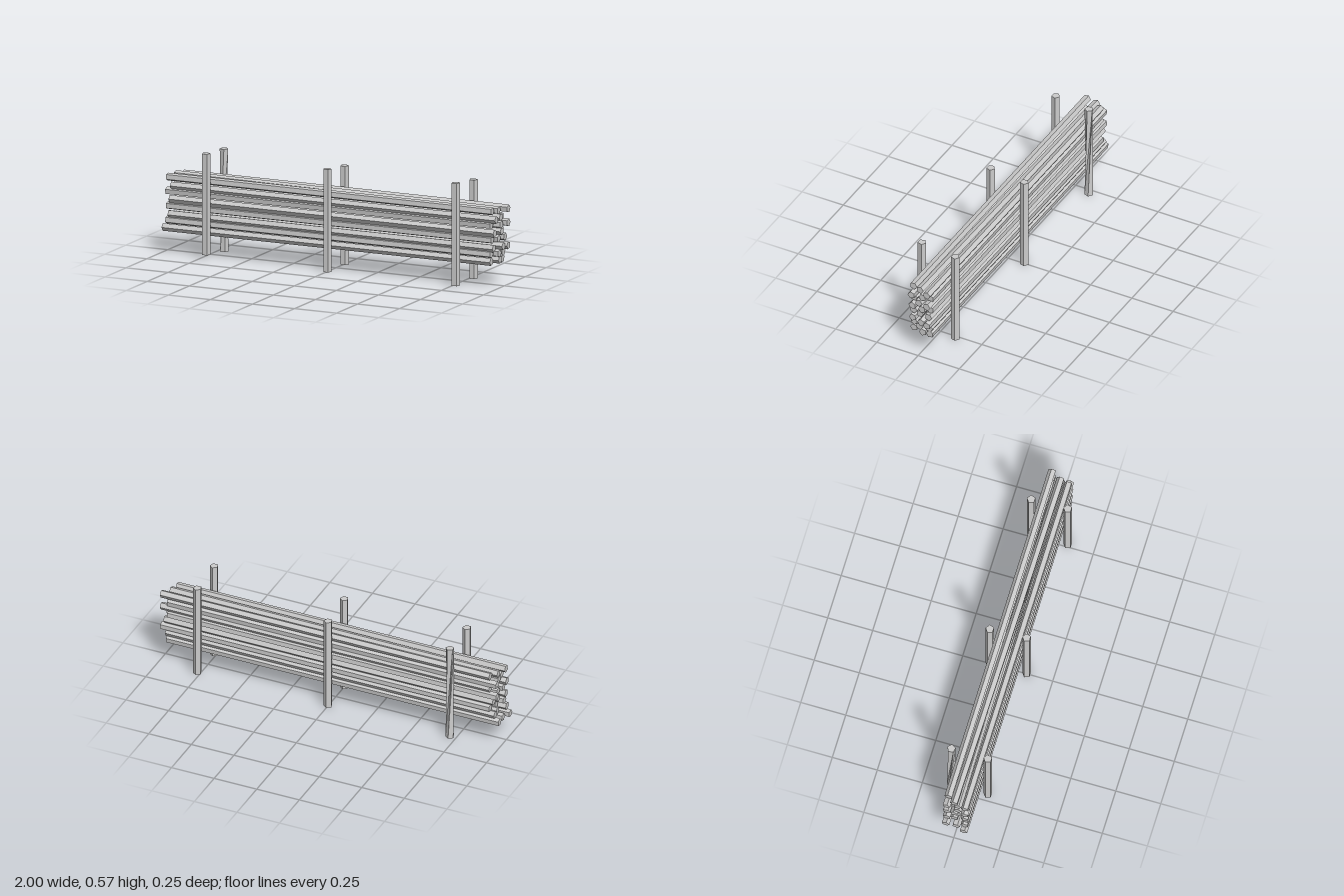
import * as THREE from 'three';

const material = new THREE.MeshStandardMaterial({ color: 0xcccccc, flatShading: true });
const UP = new THREE.Vector3(0, 1, 0);

// Five-sided pole running from a to b; angle turns the cross-section, twist turns its far end further.
function pole(name, a, b, radius, angle, twist = 0) {
  const dir = new THREE.Vector3().subVectors(b, a);
  const length = dir.length();
  const geometry = new THREE.CylinderGeometry(radius, radius, length, 5, 1, false, angle);
  if (twist) {
    const p = geometry.attributes.position;
    const v = new THREE.Vector3();
    for (let i = 0; i < p.count; i++) {
      v.fromBufferAttribute(p, i);
      if (v.y > 0) v.applyAxisAngle(UP, twist);
      p.setXYZ(i, v.x, v.y, v.z);
    }
    geometry.computeVertexNormals();
  }
  const mesh = new THREE.Mesh(geometry, material);
  mesh.name = name;
  mesh.position.addVectors(a, b).multiplyScalar(0.5);
  mesh.quaternion.setFromUnitVectors(UP, dir.normalize());
  return mesh;
}

export function createModel() {
  const model = new THREE.Group();
  model.name = 'railFence';

  // Upright posts in pairs: x, z, bottom, top, twist
  const posts = new THREE.Group();
  posts.name = 'posts';
  [
    [-0.72, 0.105, 0.022, 0.573, 0],
    [0, 0.105, 0, 0.56, 0],
    [0.763, 0.105, 0, 0.56, 0],
    [-0.715, -0.099, 0, 0.56, Math.PI / 3],
    [0, -0.099, 0, 0.538, 0],
    [0.767, -0.099, 0, 0.538, 0],
  ].forEach(([x, z, y0, y1, twist]) => {
    posts.add(pole(z > 0 ? 'frontPost' : 'backPost',
      new THREE.Vector3(x, y0, z), new THREE.Vector3(x, y1, z), 0.0238, Math.PI, twist));
  });
  model.add(posts);

  // Three columns of stacked rails; the middle column is skewed alternately
  const rowY = [0.411, 0.367, 0.335, 0.292, 0.256, 0.211, 0.177, 0.136];
  const columns = [
    { name: 'frontRail', z: 0.053, skew: 0,
      starts: [-0.975, -0.95, -0.98, -0.96, -0.975, -0.965, -0.98, -1] },
    { name: 'middleRail', z: -0.003, skew: 0.0085,
      starts: [-0.96, -0.955, -0.945, -0.95, -0.96, -0.94, -0.955, -0.98] },
    { name: 'backRail', z: -0.051, skew: 0,
      starts: [-0.93, -0.97, -0.93, -0.97, -0.95, -0.93, -0.96, -0.985] },
  ];
  columns.forEach(({ name, z, skew, starts }, c) => {
    const column = new THREE.Group();
    column.name = name + 's';
    rowY.forEach((y, i) => {
      const odd = i % 2;
      const s = odd ? -skew : skew;
      const lift = skew ? (odd ? -0.002 : 0.002) : 0;
      const angle = (odd ? 0 : Math.PI) + 0.12 * ((i + c) % 3 - 1);
      column.add(pole(name,
        new THREE.Vector3(starts[i], y + lift, z - s),
        new THREE.Vector3(starts[i] + (i === 7 ? 1.95 : 1.93), y - lift, z + s),
        0.0218, angle));
    });
    model.add(column);
  });

  return model;
}
